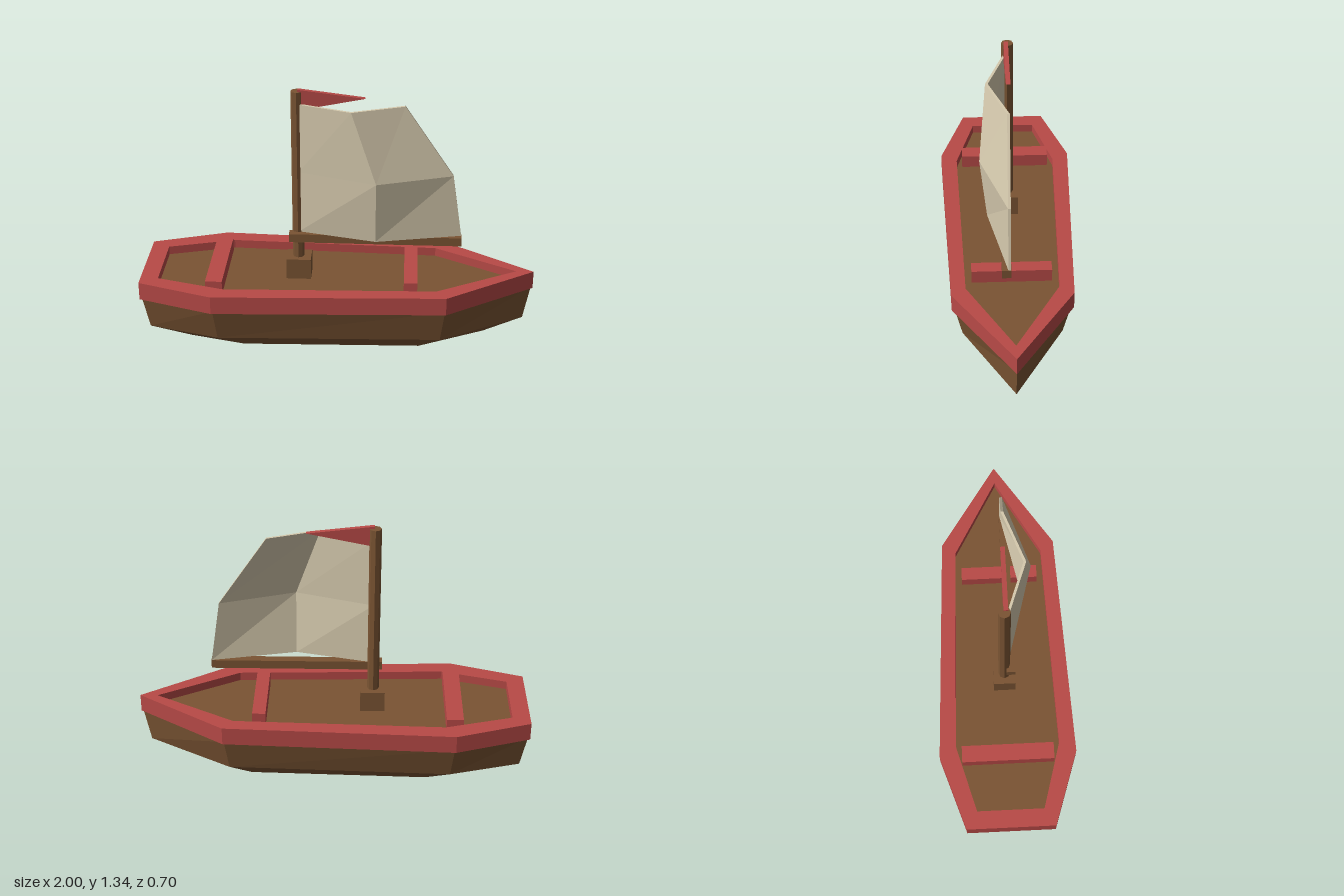
import * as THREE from 'three';

const mat = (name, color) => {
  const m = new THREE.MeshStandardMaterial({ color, flatShading: true });
  m.name = name;
  return m;
};

// Outline of the boat seen from above, as [x, z] pairs running round the hull
const outline = (stern, sternW, quarter, quarterW, shoulder, shoulderW, bow) => [
  [stern, sternW], [quarter, quarterW], [shoulder, shoulderW], [bow, 0],
  [shoulder, -shoulderW], [quarter, -quarterW], [stern, -sternW],
];

const toShape = (pts) => new THREE.Shape(pts.map(([x, z]) => new THREE.Vector2(x, -z)));

// Flat-shaded geometry from a list of quads or triangles of [x, y, z] corners
function facets(faces) {
  const pos = [];
  for (const f of faces) {
    for (let i = 1; i + 1 < f.length; i++) pos.push(...f[0], ...f[i], ...f[i + 1]);
  }
  const g = new THREE.BufferGeometry();
  g.setAttribute('position', new THREE.Float32BufferAttribute(pos, 3));
  g.computeVertexNormals();
  return g;
}

export function createModel() {
  const boat = new THREE.Group();
  boat.name = 'sailboat';
  const wood = mat('brown wood', 0x7a5433);
  const red = mat('red paint', 0xb84a47);
  const canvas = mat('cream canvas', 0xd6caae);

  const add = (name, geometry, material, x = 0, y = 0, z = 0) => {
    const m = new THREE.Mesh(geometry, material);
    m.name = name;
    m.position.set(x, y, z);
    boat.add(m);
    return m;
  };
  const box = (name, material, x0, x1, y0, y1, z0, z1) =>
    add(name, new THREE.BoxGeometry(x1 - x0, y1 - y0, z1 - z0), material,
      (x0 + x1) / 2, (y0 + y1) / 2, (z0 + z1) / 2);

  // Hull: three outlines joined by planks, closed underneath
  const levels = [
    [0, outline(-0.76, 0.125, -0.48, 0.195, 0.42, 0.168, 0.757)],
    [0.09, outline(-0.96, 0.19, -0.6, 0.29, 0.525, 0.25, 0.957)],
    [0.27, outline(-0.99, 0.215, -0.615, 0.335, 0.545, 0.287, 0.99)],
  ].map(([y, pts]) => pts.map(([x, z]) => [x, y, z]));
  const planks = [levels[0].slice().reverse()];
  for (let l = 0; l < 2; l++) {
    const a = levels[l], b = levels[l + 1];
    for (let i = 0; i < a.length; i++) {
      const j = (i + 1) % a.length;
      planks.push([a[i], a[j], b[j], b[i]]);
    }
  }
  add('hull', facets(planks), wood);

  // Gunwale: outer outline with the inside cut out
  const inner = outline(-0.91, 0.17, -0.57, 0.265, 0.5, 0.23, 0.91);
  const rim = toShape(outline(-1, 0.225, -0.62, 0.35, 0.55, 0.3, 1));
  rim.holes.push(toShape(inner));
  const rimGeo = new THREE.ExtrudeGeometry(rim, { depth: 0.095, bevelEnabled: false });
  add('gunwale', rimGeo.rotateX(-Math.PI / 2), red, 0, 0.265, 0);

  // Deck
  add('deck', new THREE.ShapeGeometry(toShape(inner)).rotateX(-Math.PI / 2), wood, 0, 0.315, 0);

  // Benches
  box('sternBench', red, -0.66, -0.575, 0.31, 0.385, -0.235, 0.235);
  box('bowBench', red, 0.337, 0.405, 0.31, 0.385, -0.2, 0.2);

  // Mast, its step and the boom
  box('mastStep', wood, -0.265, -0.14, 0.31, 0.425, -0.056, 0.056);
  add('mast', new THREE.CylinderGeometry(0.03, 0.03, 0.915, 8), wood, -0.205, 0.8675, 0);
  box('boom', wood, -0.25, 0.622, 0.525, 0.57, 0.01, 0.055);

  // Sail: three rows of three points, given a little thickness
  const rows = [
    [[-0.2, 0.57, 0.02], [0.19, 0.57, 0.115], [0.62, 0.57, 0.025]],
    [[-0.2, 0.9, 0.02], [0.19, 0.9, 0.15], [0.57, 0.9, 0.025]],
    [[-0.2, 1.262, 0.02], [0.065, 1.262, 0.115], [0.325, 1.262, 0.02]],
  ];
  const back = ([x, y, z]) => [x, y, z - 0.013];
  const sail = [];
  for (let r = 0; r < 2; r++) {
    for (let c = 0; c < 2; c++) {
      const q = [rows[r][c], rows[r][c + 1], rows[r + 1][c + 1], rows[r + 1][c]];
      sail.push(q, q.map(back).reverse());
    }
  }
  const edge = [...rows[0], rows[1][2], rows[2][2], rows[2][1], rows[2][0], rows[1][0]];
  edge.forEach((p, i) => {
    const n = edge[(i + 1) % edge.length];
    sail.push([p, back(p), back(n), n]);
  });
  add('sail', facets(sail), canvas);

  // Pennant at the masthead
  const pennant = new THREE.Shape([[-0.2, 1.23], [0.13, 1.297], [-0.2, 1.337]]
    .map(([x, y]) => new THREE.Vector2(x, y)));
  add('pennant', new THREE.ExtrudeGeometry(pennant, { depth: 0.022, bevelEnabled: false }),
    red, 0, 0, -0.004);

  return boat;
}
